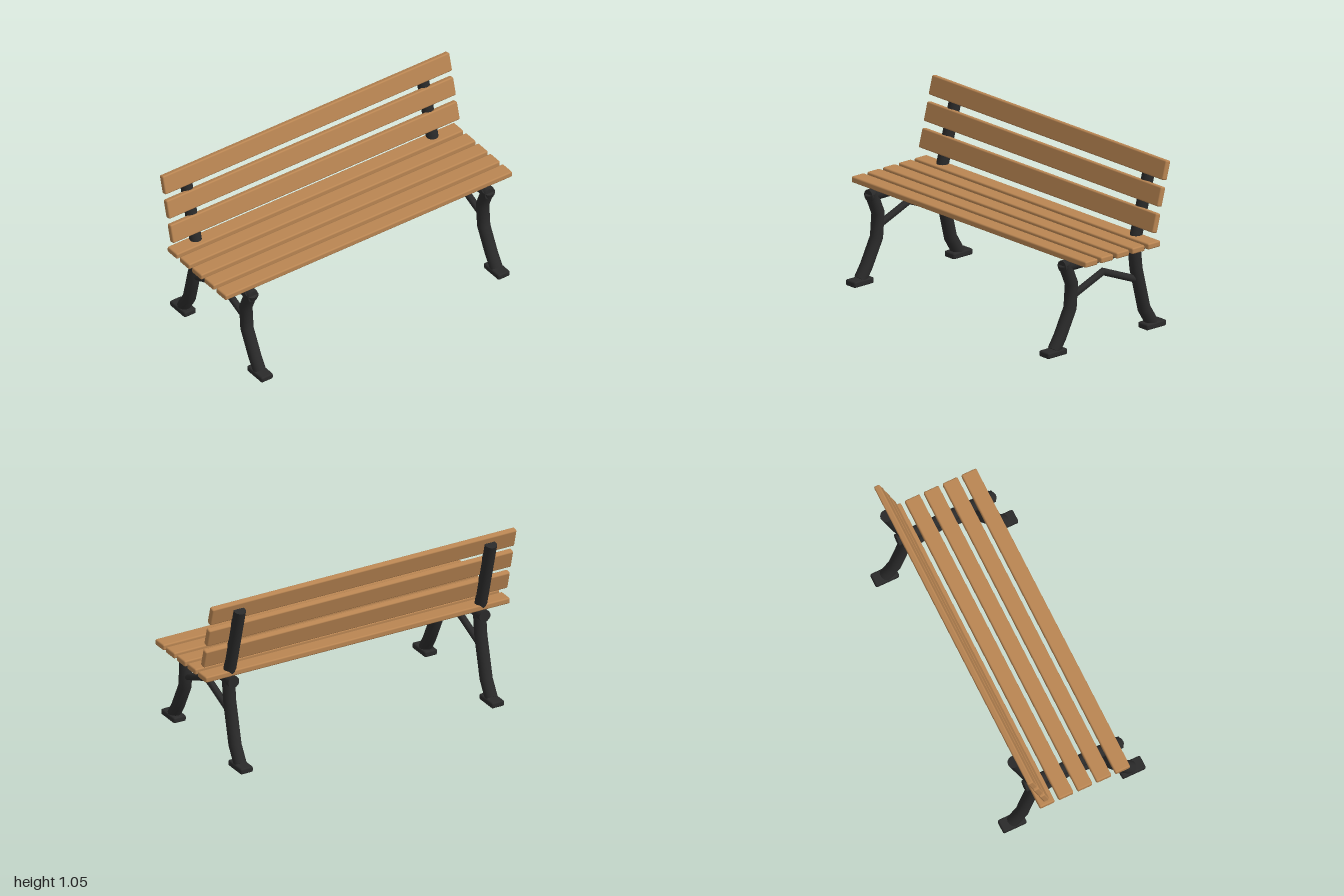
import * as THREE from 'three';
import { toCreasedNormals } from 'three/addons/utils/BufferGeometryUtils.js';
import { RoundedBoxGeometry } from 'three/addons/geometries/RoundedBoxGeometry.js';

// Capped round bar swept along a polyline in the xy plane, with mitred bends
function barGeometry(path, radius, sides = 14) {
  const pts = path.map(([x, y]) => new THREE.Vector2(x, y));
  const normals = pts.slice(1).map((p, i) => {
    const t = p.clone().sub(pts[i]).normalize();
    return new THREE.Vector2(t.y, -t.x);
  });
  const pos = [], index = [], last = pts.length - 1;
  pts.forEach((p, i) => {
    const a = normals[Math.max(i - 1, 0)], b = normals[Math.min(i, last - 1)];
    const n = a.clone().add(b).normalize();
    n.divideScalar(n.dot(a));
    for (let j = 0; j < sides; j++) {
      const u = (j / sides) * Math.PI * 2, c = Math.cos(u) * radius;
      pos.push(p.x + n.x * c, p.y + n.y * c, Math.sin(u) * radius);
    }
  });
  const start = pos.length / 3, end = start + 1;
  pos.push(pts[0].x, pts[0].y, 0, pts[last].x, pts[last].y, 0);
  for (let j = 0; j < sides; j++) {
    const k = (j + 1) % sides;
    for (let i = 0; i < last; i++) {
      const a = i * sides + j, b = i * sides + k;
      index.push(a, a + sides, b, b, a + sides, b + sides);
    }
    index.push(start, j, k, end, last * sides + k, last * sides + j);
  }
  const g = new THREE.BufferGeometry();
  g.setAttribute('position', new THREE.Float32BufferAttribute(pos, 3));
  g.setIndex(index);
  return toCreasedNormals(g, 0.75);
}

export function createModel() {
  const wood = new THREE.MeshStandardMaterial({ name: 'wood', color: 0xb98552 });
  const iron = new THREE.MeshStandardMaterial({ name: 'dark iron', color: 0x2a2a2a });
  const model = new THREE.Group();
  model.name = 'bench';

  const add = (parent, name, geometry, material, x = 0, y = 0, z = 0) => {
    const mesh = new THREE.Mesh(geometry, material);
    mesh.name = name;
    mesh.position.set(x, y, z);
    parent.add(mesh);
    return mesh;
  };

  // Iron frame parts, shared by both ends
  const bars = {
    seatRail: barGeometry([[-0.3, 0.515], [0.31, 0.515]], 0.036),
    backPost: barGeometry([[-0.236, 0.515], [-0.366, 0.999]], 0.036),
    rearLeg: barGeometry([[-0.24, 0.53], [-0.242, 0.48], [-0.252, 0.38], [-0.313, 0.125], [-0.37, 0.03]], 0.038),
    frontLeg: barGeometry([[0.29, 0.53], [0.237, 0.4], [0.248, 0.255], [0.325, 0.1], [0.37, 0.03]], 0.038),
    brace: barGeometry([[-0.235, 0.32], [0, 0.416], [0.225, 0.325]], 0.021),
  };
  const foot = new RoundedBoxGeometry(0.148, 0.036, 0.082, 2, 0.01);

  for (const side of [-1, 1]) {
    const frame = new THREE.Group();
    frame.name = side > 0 ? 'endFrameA' : 'endFrameB';
    frame.position.z = side * 0.825;
    for (const [name, geometry] of Object.entries(bars)) add(frame, name, geometry, iron);
    add(frame, 'rearFoot', foot, iron, -0.375, 0.018);
    add(frame, 'frontFoot', foot, iron, 0.375, 0.018);
    model.add(frame);
  }

  // Five seat slats
  const seatSlat = new RoundedBoxGeometry(0.094, 0.036, 2, 2, 0.009);
  for (let i = -2; i <= 2; i++) add(model, 'seatSlat', seatSlat, wood, i * 0.119, 0.563);

  // Three backrest slats, leaning with the posts
  const backSlat = new RoundedBoxGeometry(0.036, 0.115, 2, 2, 0.009);
  for (let i = 0; i < 3; i++) {
    add(model, 'backSlat', backSlat, wood, -0.255 - i * 0.0375, 0.69 + i * 0.15).rotation.z = 0.26;
  }
  return model;
}
